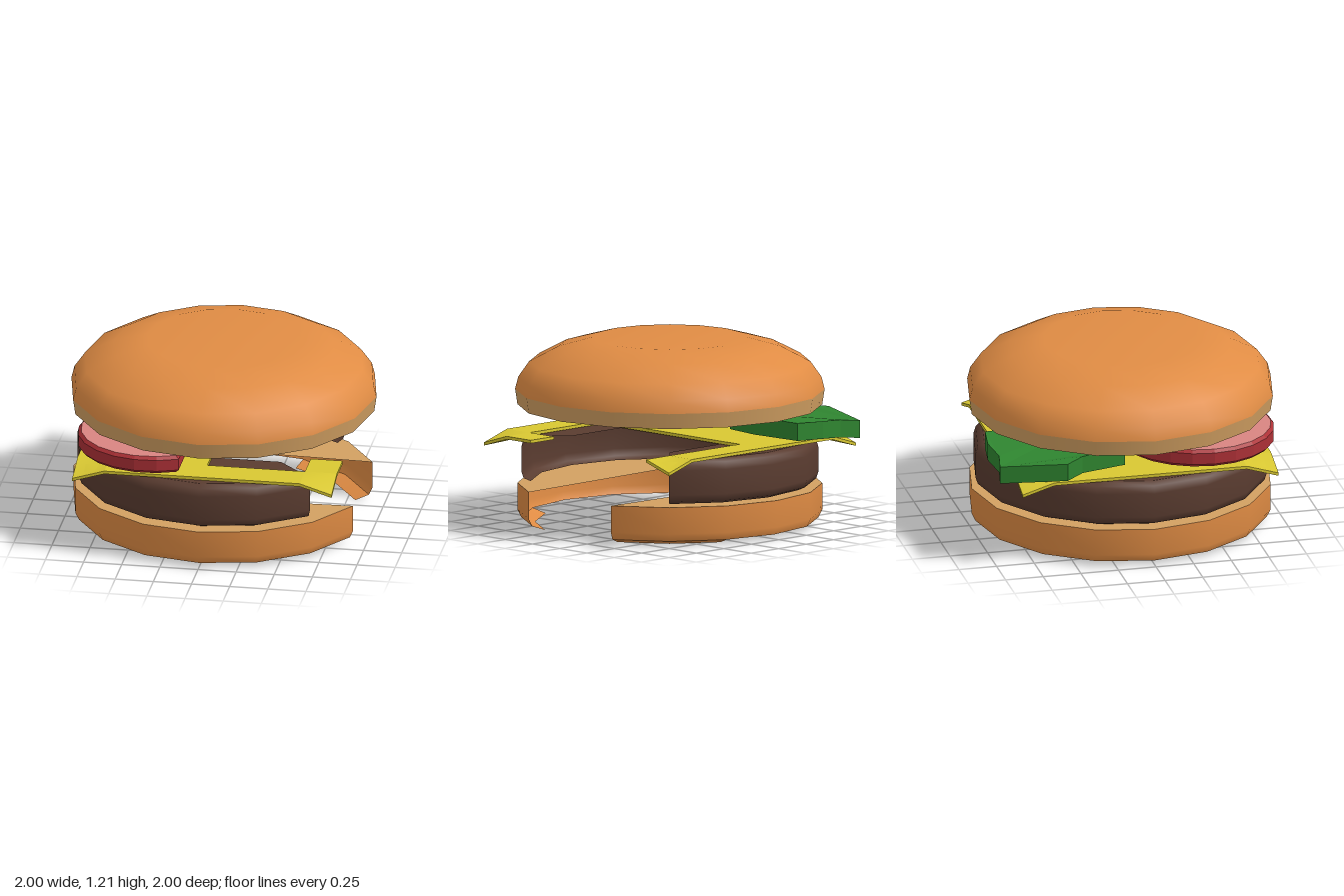
import * as THREE from 'three';

const paint = (color) => new THREE.MeshStandardMaterial({ color, side: THREE.DoubleSide });
const D = Math.PI / 180;

export function createModel() {
  const burger = new THREE.Group();
  const crust = paint(0xe08c44), crumb = paint(0xd2a062), meat = paint(0x5a3c30);
  const yellow = paint(0xd9c832), green = paint(0x2f8530);
  const red = paint(0xac3036), pink = paint(0xd98582);

  const add = (name, geometry, material) => {
    const mesh = new THREE.Mesh(geometry, material);
    mesh.name = name;
    burger.add(mesh);
    return mesh;
  };
  // Turned surface; angles in degrees from +z towards +x, 16 sides to the turn
  const turned = (profile, start = 0, sweep = 360) => new THREE.LatheGeometry(
    profile.map(([r, y]) => new THREE.Vector2(r, y)), sweep / 22.5, start * D, sweep * D);
  // Points on the 16-sided rim, as [x, z]
  const rim = (r, start, sweep) => Array.from({ length: sweep / 22.5 + 1 }, (_, i) => {
    const a = (start + i * 22.5) * D;
    return [r * Math.sin(a), r * Math.cos(a)];
  });
  const outline = (points) => new THREE.Shape(points.map(([x, z]) => new THREE.Vector2(x, z)));
  // Flat sheet in the ground plane at height y
  const sheet = (points, y) =>
    new THREE.ShapeGeometry(outline(points)).rotateX(Math.PI / 2).translate(0, y, 0);
  // Solid slice whose top is at height y
  const slice = (points, y, depth, bevel = 0) => new THREE.ExtrudeGeometry(outline(points), {
    depth: depth - 2 * bevel, bevelEnabled: bevel > 0, bevelThickness: bevel,
    bevelSize: bevel, bevelOffset: -bevel, bevelSegments: 1,
  }).rotateX(Math.PI / 2).translate(0, y - bevel, 0);
  // Lower each vertex by a rule on |x| and |z|
  const droop = (geometry, rule) => {
    const p = geometry.attributes.position;
    for (let i = 0; i < p.count; i++) {
      p.setY(i, p.getY(i) - rule(Math.abs(p.getX(i)), Math.abs(p.getZ(i))));
    }
    geometry.computeVertexNormals();
    return geometry;
  };

  // Top bun: domed shell, open below, with a pale band at the rim
  add('topBunBand', turned([[0.985, 0.77], [1, 0.87]]), crumb);
  add('topBunDome', turned([[1, 0.87], [0.98, 0.95], [0.91, 1.05], [0.72, 1.15],
    [0.5, 1.21], [0, 1.21]]), crust);

  // Bottom bun: open-ended wall with a bite on +x, and a notched pale top
  add('bottomBunWall', turned([[0.96, 0.03], [0.985, 0.08], [0.985, 0.255]], 112.5, 315), crust);
  for (const start of [22.5, 112.5]) {
    add('bottomBunFoot', turned([[0.87, 0], [0.96, 0.03]], start, 45), crust);
  }
  add('bottomBunTop', sheet([...rim(0.985, 112.5, 315), [-0.43, 0.42], [-0.43, -0.42]], 0.255), crumb);
  const lip = add('bottomBunLip', new THREE.PlaneGeometry(0.84, 0.065), crust);
  lip.rotation.y = Math.PI / 2;
  lip.position.set(-0.43, 0.222, 0);

  // Patty: rounded wall over three quarters of the turn, and a notched top
  add('pattySide', turned([[0.9, 0.265], [0.945, 0.285], [0.96, 0.33], [0.96, 0.49],
    [0.945, 0.54], [0.9, 0.56]], 135, 270), meat);
  add('pattyTop', sheet([...rim(0.9, 135, 270), [0.45, 0.45], [0, 0.45], [0, -0.45],
    [0.45, -0.45]], 0.56), meat);

  // Cheese: thin square of panels whose outer corners hang down
  const a = 0.64, b = 0.85;
  const panels = [
    [-b, -a, -b, -a], [a, b, -b, -a], [-b, -a, a, b], [a, b, a, b],
    [-a, a, -b, -a], [-a, a, a, b], [-b, -a, -a, a], [-a, 0, -a, a], [a, b, 0.42, a],
  ];
  for (const [x0, x1, z0, z1] of panels) {
    const panel = new THREE.BoxGeometry(x1 - x0, 0.02, z1 - z0)
      .translate((x0 + x1) / 2, 0.573, (z0 + z1) / 2);
    add('cheese', droop(panel, (x, z) => 0.065 * Math.max(0, (x + z - a - b) / (b - a))), yellow);
  }

  // Tomato: round slice cut short towards +x, with red skin and paler flesh
  const tomato = [];
  const end = Math.acos(0.23 / 0.5);
  for (let i = 0; i <= 14; i++) {
    const t = end + (i / 14) * (2 * Math.PI - 2 * end);
    tomato.push([-0.38 + 0.5 * Math.cos(t), 0.42 + 0.5 * Math.sin(t)]);
  }
  add('tomato', slice(tomato, 0.725, 0.115, 0.02), [pink, red]);

  // Lettuce: wavy leaf, lower towards its outer corner
  const leaf = [[-0.89, -0.56], [-0.76, -0.98], [-0.61, -0.95], [-0.42, -0.98], [-0.22, -0.95],
    [-0.2, -0.57], [-0.24, -0.31], [-0.48, -0.1], [-0.72, -0.14], [-0.8, -0.44]];
  add('lettuce', droop(slice(leaf, 0.73, 0.115),
    (x, z) => 0.04 * Math.max(0, (x + z - 1.35) / 0.39)), green);

  return burger;
}
